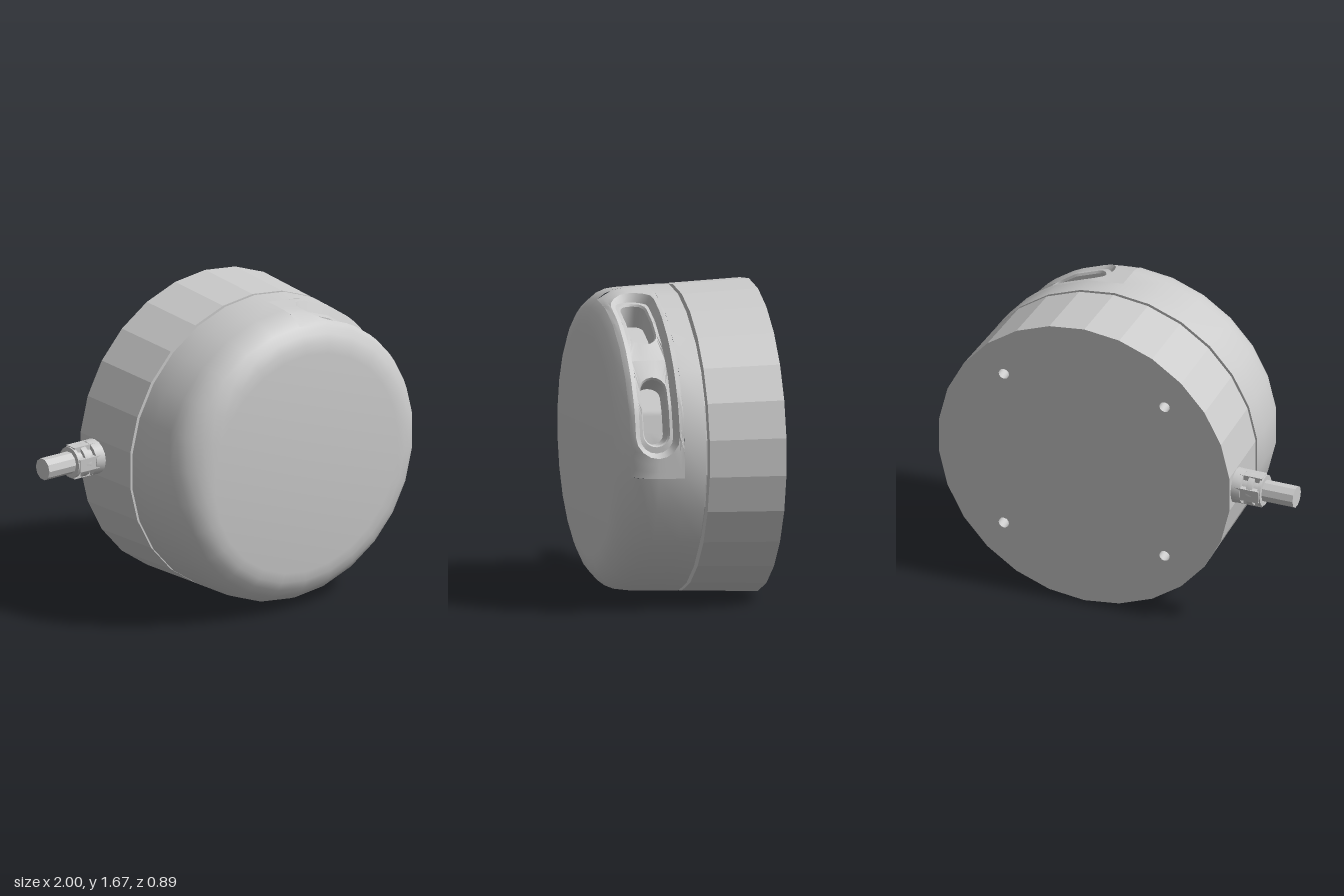
import * as THREE from 'three';
import { toCreasedNormals } from 'three/addons/utils/BufferGeometryUtils.js';

const SIDES = 26, STEP = (Math.PI * 2) / SIDES, TOP = Math.PI / 2;
const CX = 0.17, CY = 0.837, R = 0.837, BACK = -0.445;
const U = 0.8;               // length along the rim per radian
const MID_U = (TOP - 3.5 * STEP) * U, MID_Z = 0.245;  // middle of the socket recess
const FLOOR = 0.765;         // radius of the recess floor

const grey = new THREE.MeshStandardMaterial({ color: 0xcccccc });
const greyDouble = new THREE.MeshStandardMaterial({ color: 0xcccccc, side: THREE.DoubleSide });

function add(parent, name, geometry, crease = 0.2, material = grey) {
  const mesh = new THREE.Mesh(toCreasedNormals(geometry, crease), material);
  mesh.name = name;
  parent.add(mesh);
  return mesh;
}

// Radius of the front shell at depth z: slight draft, then a rounded edge
function shellRadius(z) {
  if (z < MID_Z) return 0.81 + 0.01 * (MID_Z - z) / 0.255;
  return 0.61 + Math.sqrt(Math.max(0, 0.04 - (z - MID_Z) ** 2));
}

// Point on the many-sided drum at rim distance u, depth z, corner radius r
function onDrum(u, z, r) {
  const a = u / U;
  const m = (((a - TOP) % STEP) + STEP) % STEP;
  const f = r * Math.cos(STEP / 2) / Math.cos(m - STEP / 2);
  return [f * Math.cos(a), f * Math.sin(a), z];
}

// Joins closed (or open) rows of points into quads
function loft(rows, closed = true, keep = () => true) {
  const n = rows[0].length, index = [];
  for (let j = 0; j < rows.length - 1; j++)
    for (let i = 0; i < (closed ? n : n - 1); i++) {
      if (!keep(j, i)) continue;
      const k = (i + 1) % n, a = j * n + i, b = j * n + k, c = a + n, d = b + n;
      index.push(a, b, d, a, d, c);
    }
  const g = new THREE.BufferGeometry();
  g.setAttribute('position', new THREE.Float32BufferAttribute(rows.flat(2), 3));
  g.setIndex(index);
  return g;
}

// Slot outline in (u, z); each end can be round or square
function slot(u0, u1, w, square0 = false, square1 = false) {
  const K = 8, M = 14, pts = [];
  const c0 = u0 + w, c1 = u1 - w;
  const cap = (c, start, square) => {
    for (let i = 0; i <= K; i++) {
      const a = start + (Math.PI * i) / K, x = Math.cos(a), y = Math.sin(a);
      const s = square ? w / Math.max(Math.abs(x), Math.abs(y)) : w;
      pts.push([c + x * s, MID_Z + y * s]);
    }
  };
  const side = (a, b, z) => {
    for (let i = 1; i < M; i++) pts.push([a + ((b - a) * i) / M, z]);
  };
  cap(c1, -Math.PI / 2, square1);
  side(c1, c0, MID_Z + w);
  cap(c0, Math.PI / 2, square0);
  side(c0, c1, MID_Z - w);
  return pts;
}
const lift = (pts, r) => pts.map(([u, z]) => onDrum(u, z, r ?? shellRadius(z)));
const mix = (a, b, t) => a.map((p, i) => p.map((v, k) => v + (b[i][k] - v) * t));

function frontShell() {
  const g = new THREE.Group();
  g.name = 'frontShell';

  // Rounded drum, leaving a window of seven sides for the recess
  const zs = [-0.01, 0.105, 0.245, 0.297, 0.345, 0.385, 0.418, 0.438, 0.445];
  const profile = [[0.76, -0.01], ...zs.map(z => [shellRadius(z), z]), [0, 0.445]];
  const rows = profile.map(([r, z]) =>
    Array.from({ length: SIDES }, (_, i) => onDrum((TOP + (i - 7) * STEP) * U, z, r)));
  add(g, 'frontCover', loft(rows, true, (j, i) => !(i < 7 && j >= 2 && j <= 5)), 0.5);

  // Cover around the recess, then its sloping rim
  const halfWindow = 3.5 * STEP * U;
  const frame = slot(MID_U - halfWindow, MID_U + halfWindow, 0.14, true, true);
  const rimTop = slot(MID_U - 0.57, MID_U + 0.57, 0.115);
  const rimBase = slot(MID_U - 0.545, MID_U + 0.545, 0.09);
  add(g, 'recessSurround', loft([0, 0.33, 0.67, 1].map(t => lift(mix(frame, rimTop, t)))), 0.5);
  add(g, 'recessRim', loft([lift(rimTop), lift(rimBase, FLOOR)]), 0.4);

  // Two halves of the recess floor, each with a deep socket
  for (const s of [-1, 1]) {
    const edge = s < 0 ? slot(MID_U - 0.545, MID_U, 0.09, false, true)
                       : slot(MID_U, MID_U + 0.545, 0.09, true, false);
    const c = MID_U + s * 0.31;
    const mouth = slot(c - 0.2, c + 0.2, 0.074);
    const inner = slot(c - 0.192, c + 0.192, 0.066);
    const spine = slot(c - 0.126, c + 0.126, 0);
    add(g, 'recessFloor', loft([lift(edge, FLOOR), lift(mouth, FLOOR)]), 0.5);
    add(g, 'socket', loft([lift(mouth, FLOOR), lift(inner, FLOOR - 0.012),
      lift(inner, FLOOR - 0.13), lift(spine, FLOOR - 0.13)]), 0.5);
  }
  return g;
}

function backShell() {
  const g = new THREE.Group();
  g.name = 'backShell';
  const ring = (r, z) => Array.from({ length: SIDES }, (_, i) => onDrum((TOP + i * STEP) * U, z, r));
  add(g, 'backWall', loft([ring(R, BACK), ring(0.82, -0.03), ring(0.76, -0.03)]));
  add(g, 'seam', loft([ring(0.765, -0.035), ring(0.765, -0.005)]));

  // Flat back with four screw holes
  const plate = new THREE.Shape(ring(R, 0).map(([x, y]) => new THREE.Vector2(x, y)));
  for (const x of [-0.46, 0.46])
    for (const y of [-0.46, 0.46]) {
      plate.holes.push(new THREE.Path().absarc(x, y, 0.03, 0, Math.PI * 2, true));
      const bore = new THREE.CylinderGeometry(0.03, 0.03, 0.1, 12, 1, true).rotateX(Math.PI / 2);
      add(g, 'screwHole', bore, 0.8, greyDouble).position.set(x, y, BACK + 0.05);
      const end = new THREE.CircleGeometry(0.03, 12).rotateY(Math.PI);
      add(g, 'screwHoleEnd', end).position.set(x, y, BACK + 0.1);
    }
  add(g, 'backPlate', new THREE.ShapeGeometry(plate, 6).rotateY(Math.PI)).position.z = BACK;
  return g;
}

function cable() {
  const g = new THREE.Group();
  g.name = 'cable';
  g.position.set(0, CY, -0.33);

  // Tube along x from x0 (outer end) to x1, radius r0 to r1
  const rod = (name, x0, x1, r0, r1, sides) => {
    const geo = new THREE.CylinderGeometry(r0, r1, x1 - x0, sides).rotateZ(Math.PI / 2);
    add(g, name, geo, 0.6).position.x = (x0 + x1) / 2;
  };
  rod('cord', -1, -0.7, 0.06, 0.06, 10);
  rod('reliefCore', -0.815, -0.62, 0.068, 0.072, 16);
  const rad = x => 0.085 + (x + 0.82) * 0.07;
  for (const [a, b] of [[-0.822, -0.805], [-0.775, -0.742], [-0.71, -0.62]])
    rod('reliefCollar', a, b, rad(a), rad(b), 16);

  // Bridges between the collars leave small windows
  for (let i = 0; i < 4; i++) {
    const bridge = new THREE.BoxGeometry(0.15, 0.03, 0.07).translate(-0.74, 0.073, 0);
    add(g, 'reliefBridge', bridge.rotateX((i * Math.PI) / 2));
  }
  return g;
}

export function createModel() {
  const model = new THREE.Group();
  model.name = 'roundSocketHub';
  const drum = new THREE.Group();
  drum.name = 'drum';
  drum.position.set(CX, CY, 0);
  drum.add(frontShell(), backShell());
  model.add(drum, cable());
  return model;
}
